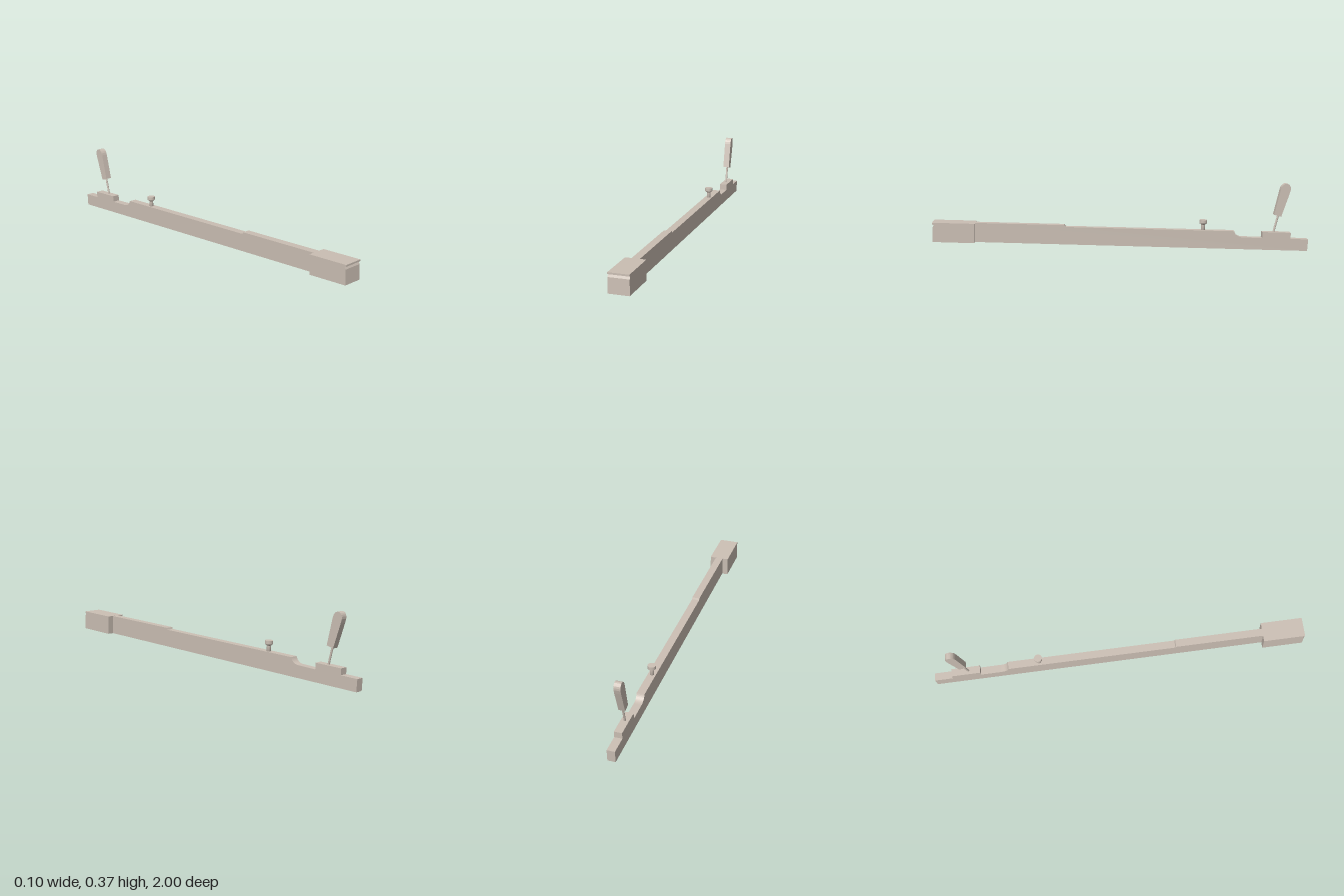
import * as THREE from 'three';

const body = new THREE.MeshStandardMaterial({ color: 0xcbbfb4 });
body.name = 'warm beige';

// Side profile drawn as (z, y), extruded evenly across x
function sideExtrude(name, shape, width) {
  const g = new THREE.ExtrudeGeometry(shape, { depth: width, bevelEnabled: false, curveSegments: 10 });
  g.translate(0, 0, -width / 2);
  g.rotateY(-Math.PI / 2);
  const m = new THREE.Mesh(g, body);
  m.name = name;
  return m;
}

const polygon = pts => new THREE.Shape(pts.map(p => new THREE.Vector2(...p)));

// Round rod between two points of the x = 0 plane, given as (z, y)
function rod(name, [z0, y0], [z1, y1], radius) {
  const a = new THREE.Vector3(0, y0, z0), b = new THREE.Vector3(0, y1, z1);
  const dir = b.clone().sub(a);
  const m = new THREE.Mesh(new THREE.CylinderGeometry(radius, radius, dir.length(), 16), body);
  m.position.copy(a).add(b).multiplyScalar(0.5);
  m.quaternion.setFromUnitVectors(new THREE.Vector3(0, 1, 0), dir.normalize());
  m.name = name;
  return m;
}

export function createModel() {
  const model = new THREE.Group();
  model.name = 'leverBar';

  // Long sloping bar with a raised step, a scooped notch and a raised seat
  const bar = new THREE.Shape();
  bar.moveTo(-0.996, 0);
  bar.lineTo(0.79, 0.069);
  bar.lineTo(0.79, 0.171);
  bar.lineTo(0.308, 0.154);
  bar.lineTo(0.304, 0.144);
  bar.lineTo(-0.598, 0.112);
  bar.quadraticCurveTo(-0.608, 0.079, -0.645, 0.078);
  bar.lineTo(-0.75, 0.073);
  bar.lineTo(-0.751, 0.106);
  bar.lineTo(-0.905, 0.1);
  bar.lineTo(-0.904, 0.067);
  bar.lineTo(-1, 0.063);
  bar.closePath();
  model.add(sideExtrude('bar', bar, 0.041));

  // Wide end block with a thin lip along its upper front edge
  model.add(sideExtrude('endBlock', polygon([
    [0.782, 0.068], [1, 0.077], [0.997, 0.155], [0.991, 0.167],
    [1, 0.17], [1, 0.179], [0.778, 0.171],
  ]), 0.105));

  // Small round knob on top of the bar
  const knobProfile = [[0, 0], [0.0105, 0], [0.0105, 0.034], [0.0105, 0.034], [0.021, 0.042],
    [0.021, 0.042], [0.021, 0.06], [0.021, 0.06], [0, 0.06]];
  const knob = new THREE.Mesh(
    new THREE.LatheGeometry(knobProfile.map(p => new THREE.Vector2(...p)), 20), body);
  knob.name = 'knob';
  knob.position.set(0, 0.113, -0.431);
  knob.rotation.x = -0.037;
  model.add(knob);

  // Slanted stem and flat tapered handle with a rounded top
  model.add(rod('leverStem', [-0.812, 0.095], [-0.84, 0.205], 0.0055));
  const handle = new THREE.Shape();
  handle.moveTo(-0.813, 0.198);
  handle.lineTo(-0.846, 0.335);
  handle.bezierCurveTo(-0.856, 0.378, -0.906, 0.374, -0.899, 0.331);
  handle.lineTo(-0.893, 0.31);
  handle.lineTo(-0.851, 0.187);
  handle.closePath();
  const grip = sideExtrude('leverHandle', handle, 0.034);
  grip.position.x = -0.001;
  model.add(grip);

  return model;
}
